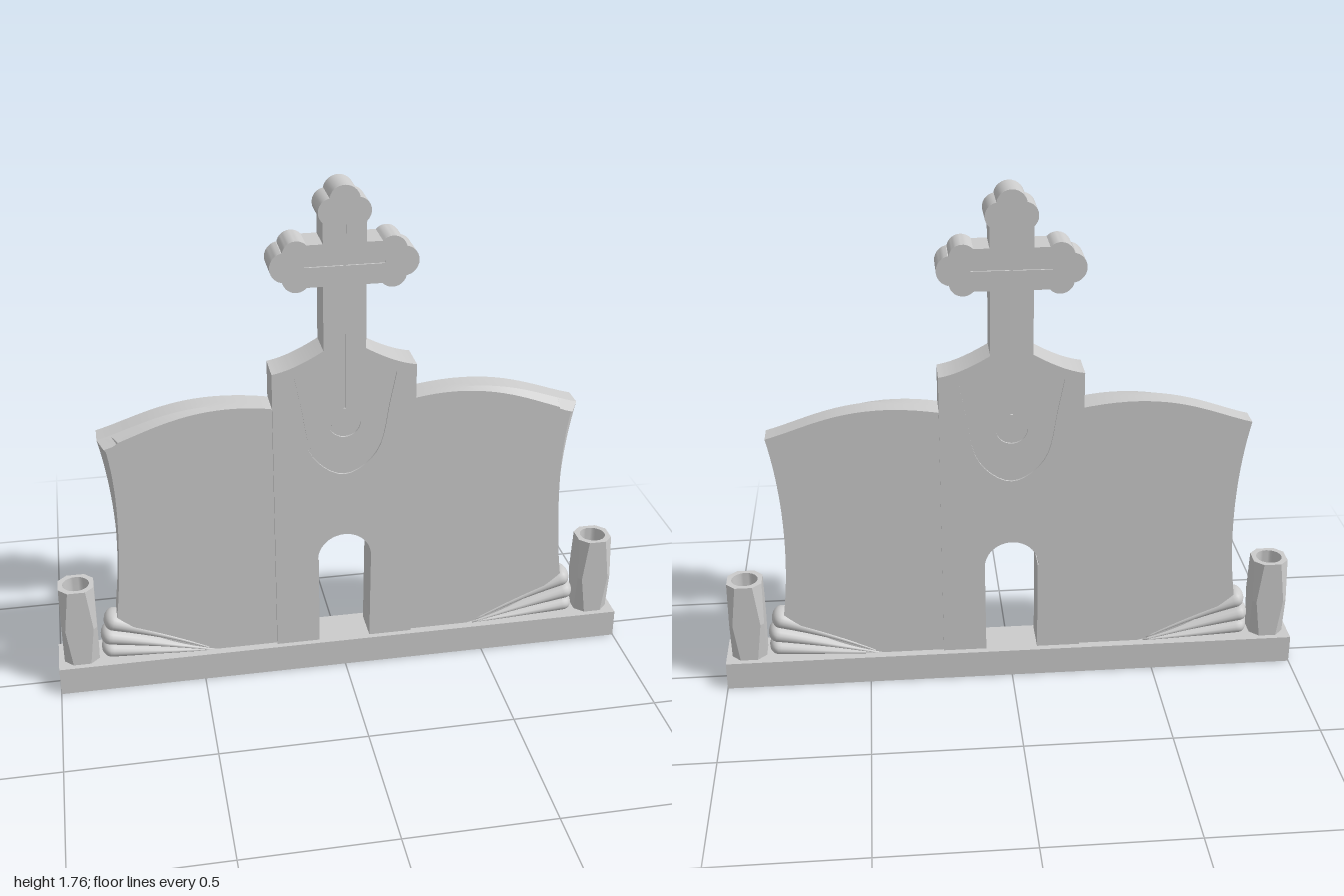
import * as THREE from 'three';
import { toCreasedNormals } from 'three/addons/utils/BufferGeometryUtils.js';

const V2 = (x, y) => new THREE.Vector2(x, y);
const mat = new THREE.MeshStandardMaterial({ color: 0xcccccc });
const matDouble = new THREE.MeshStandardMaterial({ color: 0xcccccc, side: THREE.DoubleSide });

function add(parent, name, geometry, material = mat) {
  const mesh = new THREE.Mesh(geometry, material);
  mesh.name = name;
  parent.add(mesh);
  return mesh;
}

function extrude(shape, z0, z1, steps = 1) {
  const g = new THREE.ExtrudeGeometry(shape, { depth: z1 - z0, steps, bevelEnabled: false, curveSegments: 20 });
  return g.translate(0, 0, z0);
}

// Skin through closed rings of points, with both ends capped
function loft(rings, capTop = true) {
  const n = rings[0].length, pos = [], idx = [];
  rings.forEach(r => r.forEach(p => pos.push(p.x, p.y, p.z)));
  for (let i = 0; i < rings.length - 1; i++) for (let j = 0; j < n; j++) {
    const a = i * n + j, b = i * n + (j + 1) % n, c = a + n, d = b + n;
    idx.push(a, c, b, b, c, d);
  }
  const last = (rings.length - 1) * n;
  for (let j = 1; j < n - 1; j++) {
    idx.push(0, j, j + 1);
    if (capTop) idx.push(last, last + j + 1, last + j);
  }
  const g = new THREE.BufferGeometry();
  g.setAttribute('position', new THREE.Float32BufferAttribute(pos, 3));
  g.setIndex(idx);
  g.computeVertexNormals();
  return g;
}

// Three-lobed end of a cross arm: u runs along the arm, v across it
function trefoil(u, toWorld) {
  const pts = [];
  const arc = (cu, cv, r, a0, a1) => {
    for (let i = 0; i <= 12; i++) {
      const a = THREE.MathUtils.degToRad(a0 + (a1 - a0) * i / 12);
      pts.push(toWorld(cu + r * Math.cos(a), cv + r * Math.sin(a)));
    }
  };
  arc(u, -0.04, 0.045, 222, 350);
  arc(u + 0.035, 0, 0.05, -76, 76);
  arc(u, 0.04, 0.045, 10, 138);
  return pts;
}

// Pillar outline with arched doorway and the cross on top
function pillarShape() {
  const s = new THREE.Shape();
  s.moveTo(0.09, 0.1);
  s.lineTo(0.24, 0.1);
  s.lineTo(0.24, 1.14);
  s.quadraticCurveTo(0.17, 1.15, 0.07, 1.21);
  s.lineTo(0.07, 1.43);
  const lineTo = p => s.lineTo(p.x, p.y);
  trefoil(0.155, (u, v) => V2(u, 1.5 + v)).forEach(lineTo);
  s.lineTo(0.07, 1.57);
  trefoil(0.172, (u, v) => V2(-v, 1.5 + u)).forEach(lineTo);
  s.lineTo(-0.07, 1.57);
  trefoil(0.155, (u, v) => V2(-u, 1.5 - v)).forEach(lineTo);
  s.lineTo(-0.07, 1.43);
  s.lineTo(-0.07, 1.21);
  s.quadraticCurveTo(-0.17, 1.15, -0.24, 1.14);
  s.lineTo(-0.24, 0.1);
  s.lineTo(-0.09, 0.1);
  s.lineTo(-0.09, 0.43);
  s.absarc(0, 0.43, 0.093, Math.PI, 0, true);
  s.lineTo(0.09, 0.1);
  return s;
}

// Narrow closed strip following a curve
function grooveStrip(curve, count) {
  const a = [], b = [];
  for (let i = 0; i <= count; i++) {
    const p = curve.getPoint(i / count), t = curve.getTangent(i / count);
    a.push(V2(p.x - t.y * 0.004, p.y + t.x * 0.004));
    b.unshift(V2(p.x + t.y * 0.004, p.y - t.x * 0.004));
  }
  return new THREE.Path([...a, ...b]);
}

function engravedShape() {
  const s = pillarShape(), w = 0.004;
  s.holes.push(new THREE.Path([
    V2(-w, 1), V2(w, 1), V2(w, 1.5 - w), V2(0.13, 1.5 - w), V2(0.13, 1.5 + w), V2(w, 1.5 + w),
    V2(w, 1.63), V2(-w, 1.63), V2(-w, 1.5 + w), V2(-0.13, 1.5 + w), V2(-0.13, 1.5 - w), V2(-w, 1.5 - w)]));
  s.holes.push(grooveStrip(new THREE.SplineCurve([
    V2(-0.17, 1.12), V2(-0.15, 1.02), V2(-0.11, 0.84), V2(0, 0.76),
    V2(0.11, 0.84), V2(0.15, 1.02), V2(0.17, 1.12)]), 32));
  s.holes.push(grooveStrip(new THREE.EllipseCurve(0, 0.95, 0.05, 0.05, Math.PI, 2 * Math.PI), 14));
  return s;
}

// Curved slab like an open page; the front edge is chamfered toward the outer top corner
function wingGeometry(side) {
  const s = new THREE.Shape();
  s.moveTo(side * 0.22, 0.1);
  s.lineTo(side * 0.45, 0.1);
  s.quadraticCurveTo(side * 0.66, 0.15, side * 0.79, 0.27);
  s.bezierCurveTo(side * 0.76, 0.47, side * 0.76, 0.72, side * 0.81, 0.94);
  s.bezierCurveTo(side * 0.66, 0.98, side * 0.53, 1.07, side * 0.22, 1.01);
  const g = extrude(s, -0.05, 0.05, 4), p = g.attributes.position;
  for (let i = 0; i < p.count; i++) {
    if (p.getZ(i) < 0.049) continue;
    const x = Math.abs(p.getX(i)), y = p.getY(i);
    if (y > 0.93) p.setY(i, y - 0.025 * THREE.MathUtils.smoothstep(x, 0.25, 0.8));
    if (x > 0.75) p.setX(i, side * (x - 0.02 * THREE.MathUtils.smoothstep(y, 0.4, 0.95)));
  }
  return toCreasedNormals(g, 0.3);
}

// Rounded leaf tapering from a blunt outer end
function leafGeometry(side, pts, height) {
  const curve = new THREE.QuadraticBezierCurve3(
    ...pts.map(([x, y]) => new THREE.Vector3(side * x, y, 0)));
  const z = new THREE.Vector3(0, 0, 1), rings = [];
  for (let i = 0; i <= 24; i++) {
    const u = (i / 24) ** 1.6;
    const cap = Math.max(0.02, Math.sqrt(1 - Math.max(0, 1 - u / 0.09) ** 2));
    const h = THREE.MathUtils.lerp(height, 0.006, u) * cap, d = 0.054 * cap;
    const c = curve.getPoint(u), n = curve.getTangent(u).cross(z);
    rings.push(Array.from({ length: 20 }, (_, j) => {
      const a = j / 20 * Math.PI * 2;
      return c.clone().addScaledVector(n, h * Math.cos(a)).addScaledVector(z, d * Math.sin(a));
    }));
  }
  return loft(rings);
}

// Square vase with cut corners and a round well
function makeVase(name, x) {
  const vase = new THREE.Group(), r = 0.06;
  vase.name = name;
  const octagon = c => [[r, c - r], [r, r - c], [r - c, r], [c - r, r],
    [-r, r - c], [-r, c - r], [c - r, -r], [r - c, -r]];
  const rings = [[0.1, 0.03], [0.24, 0.012], [0.39, 0.03]].map(([y, c]) =>
    octagon(c).map(([px, pz]) => new THREE.Vector3(px, y, pz)));
  const body = loft(rings, false).toNonIndexed();
  body.computeVertexNormals();
  add(vase, 'vaseBody', body);
  const rim = new THREE.Shape(octagon(0.03).map(([px, pz]) => V2(px, pz)));
  rim.holes.push(new THREE.Path().absarc(0, 0, 0.045, 0, Math.PI * 2, true));
  add(vase, 'vaseRim', new THREE.ShapeGeometry(rim, 16).rotateX(-Math.PI / 2).translate(0, 0.39, 0));
  const well = new THREE.LatheGeometry([V2(0.045, 0.39), V2(0.045, 0.3), V2(0, 0.3)], 32);
  add(vase, 'vaseWell', toCreasedNormals(well, 0.6), matDouble);
  vase.position.x = x;
  return vase;
}

export function createModel() {
  const model = new THREE.Group();
  model.name = 'monument';

  add(model, 'base', new THREE.BoxGeometry(2, 0.1, 0.16).translate(0, 0.05, 0));

  // Pillar core between two thin engraved faces
  const pillar = new THREE.Group();
  pillar.name = 'pillarWithCross';
  add(pillar, 'pillarCore', toCreasedNormals(extrude(pillarShape(), -0.051, 0.054), 0.5));
  add(pillar, 'engravedFront', toCreasedNormals(extrude(engravedShape(), 0.054, 0.06), 0.5));
  add(pillar, 'engravedBack', toCreasedNormals(extrude(engravedShape(), -0.057, -0.051), 0.5));
  model.add(pillar);

  // Wings, leaves and vases on both sides
  const leaves = [
    { pts: [[0.835, 0.245], [0.65, 0.19], [0.48, 0.11]], h: 0.038 },
    { pts: [[0.85, 0.185], [0.67, 0.15], [0.47, 0.1]], h: 0.036 },
    { pts: [[0.85, 0.13], [0.66, 0.11], [0.47, 0.1]], h: 0.033 }];
  for (const [label, side] of [['left', 1], ['right', -1]]) {
    add(model, label + 'Wing', wingGeometry(side));
    const fan = new THREE.Group();
    fan.name = label + 'Leaves';
    leaves.forEach(({ pts, h }, i) => add(fan, 'leaf' + (i + 1), leafGeometry(side, pts, h)));
    model.add(fan);
    model.add(makeVase(label + 'Vase', side * 0.92));
  }
  return model;
}
